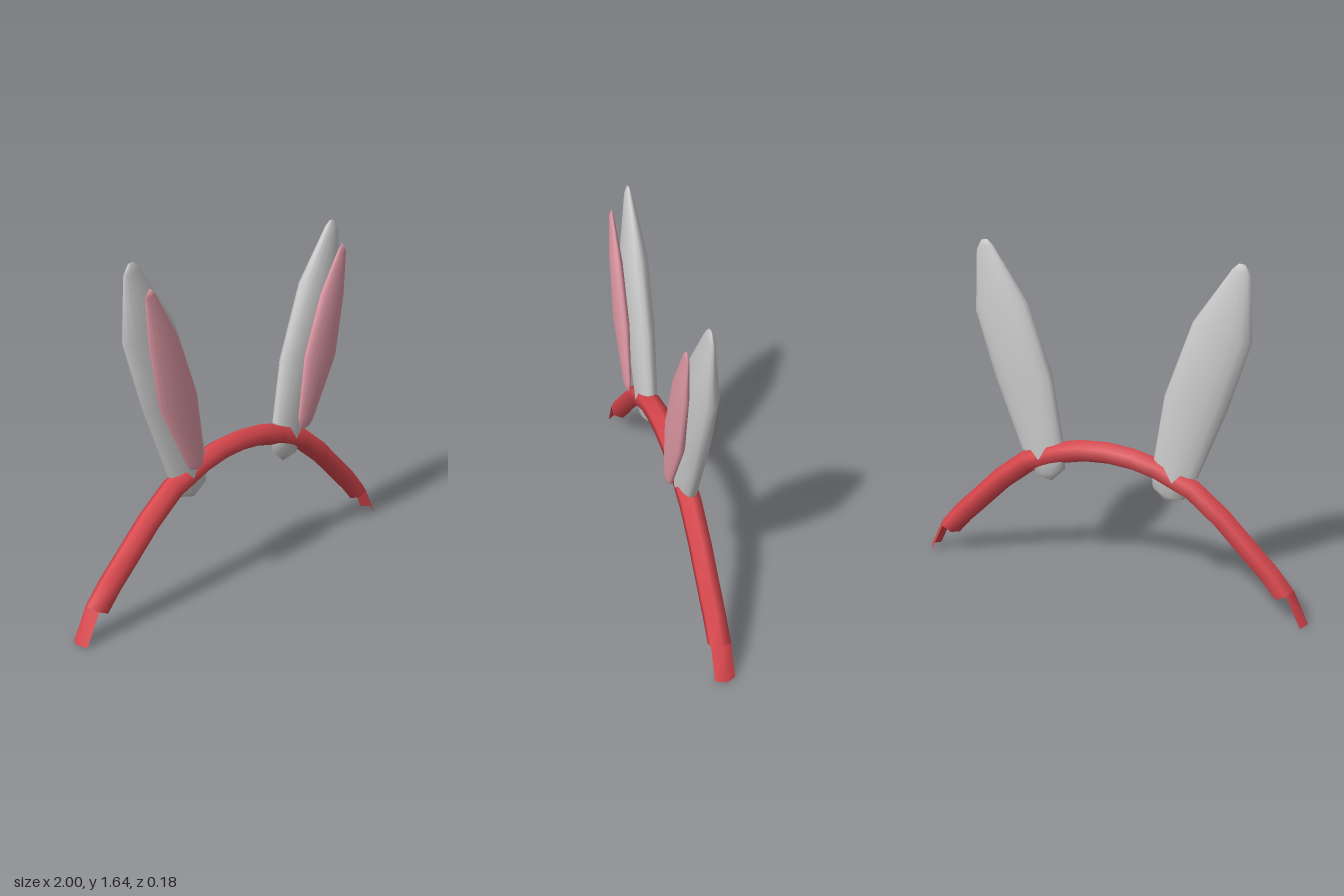
import * as THREE from 'three';
import { mergeVertices } from 'three/addons/utils/BufferGeometryUtils.js';

const ZC = -0.025; // depth of the band and ears
const TUBE = 0.054;

// Smooth skin over rows of points; `closed` joins the last column to the first
function skin(rows, closed, mirror = false) {
  const n = rows[0].length;
  const pos = rows.flat().flatMap(([x, y, z]) => [mirror ? -x : x, y, z]);
  const index = [];
  for (let i = 0; i < rows.length - 1; i++) {
    for (let j = 0; j < (closed ? n : n - 1); j++) {
      const a = i * n + j, b = i * n + (j + 1) % n, c = a + n, d = b + n;
      if (mirror) index.push(a, b, c, b, d, c);
      else index.push(a, c, b, b, c, d);
    }
  }
  let g = new THREE.BufferGeometry();
  g.setAttribute('position', new THREE.Float32BufferAttribute(pos, 3));
  g.setIndex(index);
  g = mergeVertices(g, 1e-5);
  g.computeVertexNormals();
  return g;
}

// Elliptical ring between an inner and an outer side point, with half depth hz
function ring([xi, yi, xo, yo, hz], zc, sides = 16) {
  return Array.from({ length: sides }, (_, j) => {
    const t = (j / sides) * Math.PI * 2, c = Math.cos(t) / 2;
    return [
      (xi + xo) / 2 + (xo - xi) * c,
      (yi + yo) / 2 + (yo - yi) * c,
      zc + hz * Math.sin(t),
    ];
  });
}

// Each section, bottom to top: inner x, inner y, outer x, outer y, half depth
const EAR = [
  [0.233, 0.70, 0.447, 0.63, 0.052],
  [0.28, 1.01, 0.58, 0.985, 0.063],
  [0.405, 1.365, 0.675, 1.30, 0.059],
  [0.575, 1.615, 0.66, 1.59, 0.017],
  [0.603, 1.64, 0.635, 1.635, 0.006],
  [0.62, 1.64, 0.62, 1.64, 0],
];
const LINING = [
  [0.352, 0.67, 0.352, 0.67, 0],
  [0.32, 0.685, 0.385, 0.677, 0.011],
  [0.313, 0.735, 0.41, 0.70, 0.017],
  [0.35, 1.035, 0.562, 1.0, 0.032],
  [0.452, 1.318, 0.61, 1.295, 0.027],
  [0.57, 1.52, 0.623, 1.508, 0.009],
  [0.597, 1.545, 0.597, 1.545, 0],
];
const BULB = [
  [0.297, 0.49, 0.297, 0.49, 0],
  [0.225, 0.56, 0.386, 0.515, 0.036],
  [0.222, 0.62, 0.405, 0.58, 0.045],
];

export function createModel() {
  const model = new THREE.Group();
  const mat = (color) => new THREE.MeshStandardMaterial({ color, side: THREE.DoubleSide });
  const grey = mat(0xcccccc), red = mat(0xd8474d), pink = mat(0xe09aa6);
  const add = (name, geometry, material, parent = model) => {
    const m = new THREE.Mesh(geometry, material);
    m.name = name;
    parent.add(m);
  };

  // Headband: six-sided tube, open at both ends
  const half = [[0.13, 0.673], [0.25, 0.644], [0.425, 0.57], [0.57, 0.455], [0.71, 0.315], [0.8, 0.227], [0.878, 0.135]];
  const path = [...half.map(([x, y]) => [-x, y]).reverse(), [0, 0.683], ...half];
  const tube = path.map(([x, y], i) => {
    const p = path[Math.max(i - 1, 0)], q = path[Math.min(i + 1, path.length - 1)];
    let tx = q[0] - p[0], ty = q[1] - p[1];
    if (i === 0) [tx, ty] = [0.075, 0.142]; // end cuts follow the tips
    if (i === path.length - 1) [tx, ty] = [0.075, -0.142];
    const l = Math.hypot(tx, ty);
    return Array.from({ length: 6 }, (_, j) => {
      const a = (j / 6) * Math.PI * 2, r = TUBE * Math.cos(a);
      return [x - (ty / l) * r, y + (tx / l) * r, ZC - TUBE * Math.sin(a)];
    });
  });
  add('headband', skin(tube, true), red);

  // Thin tips continuing the outer two faces of the band
  const end = tube[tube.length - 1];
  const tipTop = [end[5], end[0], end[1]];
  const w = TUBE * Math.sin(Math.PI / 3);
  const tipEnd = [[0.975, 0, ZC + w], [1, 0.008, ZC], [0.975, 0, ZC - w]];
  for (const mirror of [false, true]) {
    add(mirror ? 'rightBandTip' : 'leftBandTip', skin([tipTop, tipEnd], false, mirror), red);
  }

  // Ears: shell, pink lining and the small bulb under the band
  const shell = EAR.map((s) => ring(s, ZC));
  for (const j of [4, 12]) shell[0][j][1] -= 0.057; // little point front and back
  for (const mirror of [false, true]) {
    const ear = new THREE.Group();
    ear.name = mirror ? 'rightEar' : 'leftEar';
    add('earShell', skin(shell, true, mirror), grey, ear);
    add('earLining', skin(LINING.map((s) => ring(s, 0.063)), true, mirror), pink, ear);
    add('earBulb', skin(BULB.map((s) => ring(s, ZC, 10)), true, mirror), grey, ear);
    model.add(ear);
  }
  return model;
}
